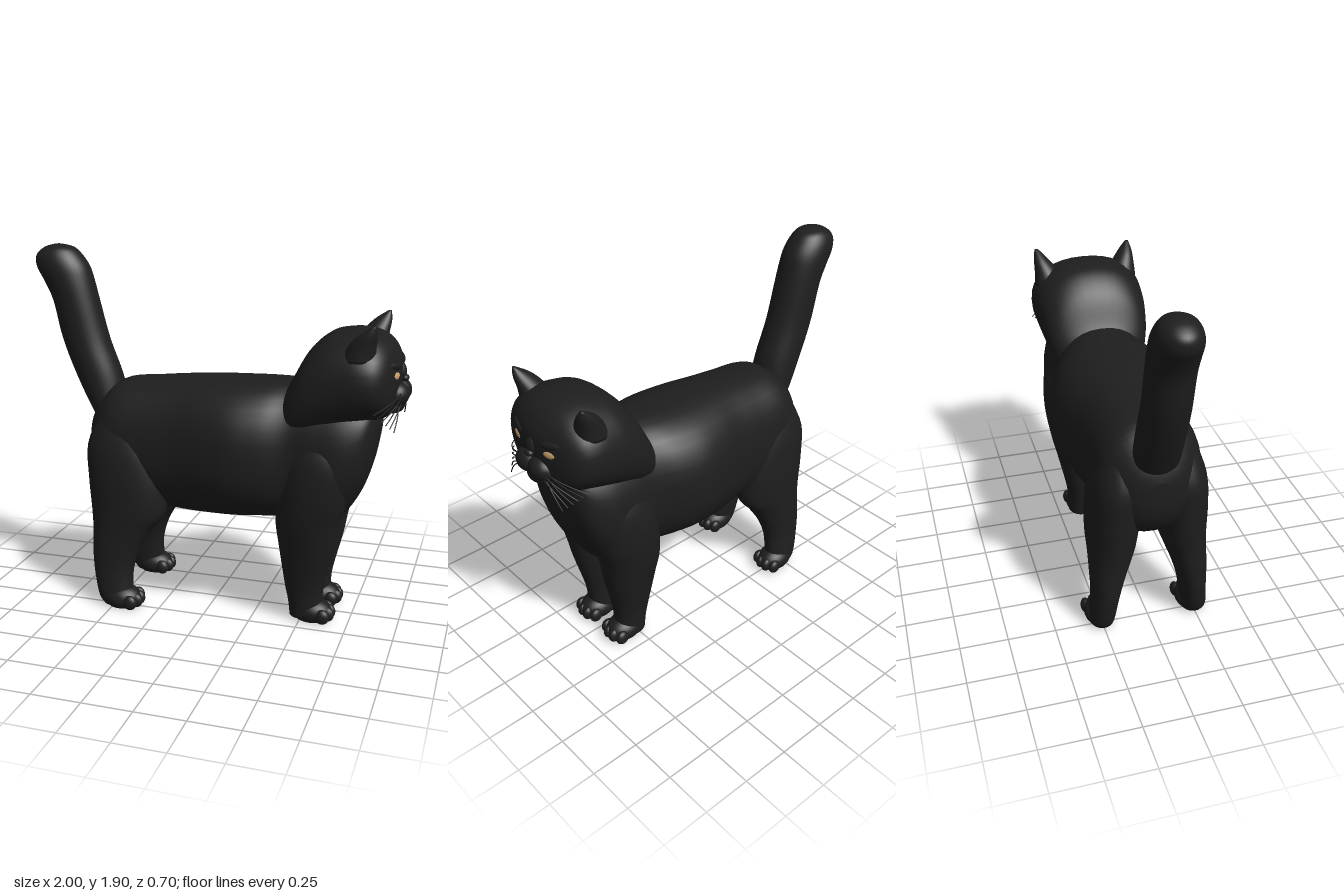
import * as THREE from 'three';

const fur = new THREE.MeshStandardMaterial({ color: 0x1e1e1e });
fur.name = 'black fur';
const amber = new THREE.MeshStandardMaterial({ color: 0xd2a56d });
amber.name = 'amber eye';

// Smooth skin through oval sections [x, y, z, halfA, halfB], listed along +axis.
// axis 'x': halfA is in y, halfB in z.  axis 'y': halfA is in x, halfB in z.
function loft(axis, stations, power = 2, steps = 5, sides = 36) {
  const rings = [];
  const last = stations.length - 1;
  const at = (i) => stations[Math.min(last, Math.max(0, i))];
  for (let i = 0; i < last; i++) {
    for (let s = 0; s < steps + (i === last - 1 ? 1 : 0); s++) {
      const t = s / steps;
      rings.push(at(i).map((p1, k) => {
        const p0 = at(i - 1)[k], p2 = at(i + 1)[k], p3 = at(i + 2)[k];
        return 0.5 * (2 * p1 + (p2 - p0) * t + (2 * p0 - 5 * p1 + 4 * p2 - p3) * t * t
          + (3 * p1 - p0 - 3 * p2 + p3) * t * t * t);
      }));
    }
  }
  const pos = [], idx = [];
  const round = (v) => Math.sign(v) * Math.abs(v) ** (2 / power);
  rings.forEach(([x, y, z, a, b], i) => {
    for (let j = 0; j < sides; j++) {
      const c = round(Math.cos(j / sides * Math.PI * 2));
      const s = round(Math.sin(j / sides * Math.PI * 2));
      if (axis === 'x') pos.push(x, y + a * c, z + b * s);
      else pos.push(x + a * s, y, z + b * c);
      if (i < rings.length - 1) {
        const p = i * sides + j, q = i * sides + (j + 1) % sides;
        idx.push(p, q, p + sides, q, q + sides, p + sides);
      }
    }
  });
  // end caps
  const n = rings.length, lo = pos.length / 3, hi = lo + 1;
  pos.push(...rings[0].slice(0, 3), ...rings[n - 1].slice(0, 3));
  for (let j = 0; j < sides; j++) {
    const k = (j + 1) % sides;
    idx.push(lo, k, j, hi, (n - 1) * sides + j, (n - 1) * sides + k);
  }
  const g = new THREE.BufferGeometry();
  g.setAttribute('position', new THREE.Float32BufferAttribute(pos, 3));
  g.setIndex(idx);
  g.computeVertexNormals();
  return g;
}

// Turns [x, top, bottom, halfWidth] into x-axis sections
const span = (rows) => rows.map(([x, t, b, w]) => [x, (t + b) / 2, 0, (t - b) / 2, w]);

function add(parent, name, geometry, material = fur) {
  const m = new THREE.Mesh(geometry, material);
  m.name = name;
  parent.add(m);
  return m;
}

function blob(parent, name, x, y, z, rx, ry, rz, material = fur) {
  const m = add(parent, name, new THREE.SphereGeometry(1, 24, 16), material);
  m.position.set(x, y, z);
  m.scale.set(rx, ry, rz);
  return m;
}

// Foot flattened on the ground, with four toes in front
function paw(parent, name, x, z) {
  const g = new THREE.Group();
  g.name = name;
  const foot = new THREE.SphereGeometry(1, 28, 18);
  foot.scale(0.105, 0.07, 0.083);
  foot.translate(x, 0.045, z);
  const p = foot.attributes.position;
  for (let i = 0; i < p.count; i++) p.setY(i, Math.max(0, p.getY(i)));
  foot.computeVertexNormals();
  add(g, 'foot', foot);
  for (let i = 0; i < 4; i++) {
    const o = i - 1.5;
    blob(g, 'toe', x + 0.09 - Math.abs(o) * 0.018, 0.04, z + o * 0.042, 0.038, 0.04, 0.025);
  }
  parent.add(g);
}

export function createModel() {
  const cat = new THREE.Group();
  cat.name = 'cat';

  // Trunk, from rump to chest
  add(cat, 'body', loft('x', span([
    [-0.69, 0.95, 0.82, 0.05], [-0.665, 1.03, 0.72, 0.13], [-0.6, 1.13, 0.62, 0.21],
    [-0.5, 1.2, 0.57, 0.265], [-0.3, 1.225, 0.53, 0.28], [-0.15, 1.24, 0.515, 0.295],
    [0, 1.25, 0.515, 0.33], [0.15, 1.255, 0.52, 0.35], [0.3, 1.26, 0.53, 0.325],
    [0.43, 1.26, 0.53, 0.275], [0.56, 1.25, 0.53, 0.28], [0.68, 1.24, 0.56, 0.28],
    [0.77, 1.22, 0.68, 0.25], [0.825, 1.2, 0.83, 0.2], [0.855, 1.17, 0.98, 0.12],
    [0.865, 1.12, 1.04, 0.04],
  ]), 2.3));

  // Head with its thick ruff
  const head = new THREE.Group();
  head.name = 'head';
  cat.add(head);
  add(head, 'skull', loft('x', span([
    [0.37, 1.2, 0.98, 0.17], [0.42, 1.275, 0.95, 0.24], [0.5, 1.42, 0.96, 0.28],
    [0.6, 1.51, 1.0, 0.3], [0.7, 1.535, 1.04, 0.31], [0.78, 1.535, 1.07, 0.312],
    [0.85, 1.515, 1.09, 0.295], [0.9, 1.48, 1.11, 0.25], [0.93, 1.44, 1.14, 0.18],
    [0.95, 1.4, 1.19, 0.1], [0.957, 1.36, 1.24, 0.04],
  ]), 2.25));
  blob(head, 'chin', 0.915, 1.165, 0, 0.06, 0.05, 0.075);
  blob(head, 'noseBridge', 0.93, 1.325, 0, 0.045, 0.06, 0.042);
  blob(head, 'nose', 0.968, 1.298, 0, 0.02, 0.018, 0.028);

  for (const s of [1, -1]) {
    const side = s > 0 ? 'right' : 'left';
    blob(head, side + 'Muzzle', 0.935, 1.225, s * 0.05, 0.064, 0.062, 0.075);
    const eye = blob(head, side + 'Eye', 0.926, 1.33, s * 0.125, 0.022, 0.027, 0.052, amber);
    eye.rotation.set(-s * 0.12, -s * 0.3, 0);
    const brow = blob(head, side + 'Brow', 0.918, 1.375, s * 0.12, 0.03, 0.025, 0.075);
    brow.rotation.set(-s * 0.2, -s * 0.3, 0);
    add(head, side + 'Ear', loft('y', [
      [0.765, 1.41, s * 0.205, 0.085, 0.085], [0.785, 1.48, s * 0.222, 0.068, 0.064],
      [0.815, 1.54, s * 0.245, 0.045, 0.038], [0.845, 1.585, s * 0.262, 0.008, 0.01],
    ], 2, 4, 24));

    // Drooping whiskers
    for (let i = 0; i < 6; i++) {
      const y = 1.245 - i * 0.012;
      const path = new THREE.QuadraticBezierCurve3(
        new THREE.Vector3(0.965 - (i % 2) * 0.02, y, s * 0.085),
        new THREE.Vector3(0.97, y - 0.015, s * (0.19 - i * 0.008)),
        new THREE.Vector3(0.86 + i * 0.018, y - 0.075 - i * 0.008, s * (0.3 - i * 0.018)));
      add(head, side + 'Whisker', new THREE.TubeGeometry(path, 12, 0.0028, 5));
    }

    // Front leg, shoulder to paw
    add(cat, side + 'FrontLeg', loft('y', [
      [0.525, 0.02, s * 0.115, 0.085, 0.075], [0.52, 0.1, s * 0.115, 0.09, 0.077],
      [0.515, 0.2, s * 0.12, 0.105, 0.082], [0.525, 0.4, s * 0.135, 0.143, 0.11],
      [0.53, 0.55, s * 0.147, 0.165, 0.132], [0.56, 0.72, s * 0.16, 0.18, 0.142],
      [0.58, 0.9, s * 0.16, 0.17, 0.135], [0.58, 1.05, s * 0.14, 0.12, 0.1],
    ], 2.15));
    paw(cat, side + 'FrontPaw', 0.56, s * 0.115);

    // Hind leg, haunch to paw
    add(cat, side + 'HindLeg', loft('y', [
      [-0.485, 0.01, s * 0.25, 0.075, 0.06], [-0.495, 0.06, s * 0.25, 0.095, 0.068],
      [-0.508, 0.2, s * 0.235, 0.11, 0.072], [-0.495, 0.32, s * 0.22, 0.132, 0.088],
      [-0.465, 0.43, s * 0.2, 0.165, 0.108], [-0.435, 0.53, s * 0.185, 0.205, 0.125],
      [-0.44, 0.7, s * 0.175, 0.215, 0.135], [-0.46, 0.88, s * 0.16, 0.2, 0.13],
      [-0.46, 1.05, s * 0.14, 0.13, 0.09],
    ], 2.15));
    paw(cat, side + 'HindPaw', -0.455, s * 0.25);
  }

  // Raised tail with a rounded, backward-tipped end
  add(cat, 'tail', loft('y', [
    [-0.58, 0.93, 0, 0.06, 0.08], [-0.595, 1.02, 0, 0.095, 0.115],
    [-0.655, 1.2, 0, 0.125, 0.118], [-0.73, 1.4, 0, 0.128, 0.115],
    [-0.78, 1.6, 0, 0.125, 0.115], [-0.815, 1.7, 0, 0.135, 0.117],
    [-0.85, 1.78, 0, 0.145, 0.115], [-0.87, 1.84, 0, 0.125, 0.1],
    [-0.87, 1.88, 0, 0.08, 0.07], [-0.875, 1.897, 0, 0.02, 0.02],
  ]));
  return cat;
}
